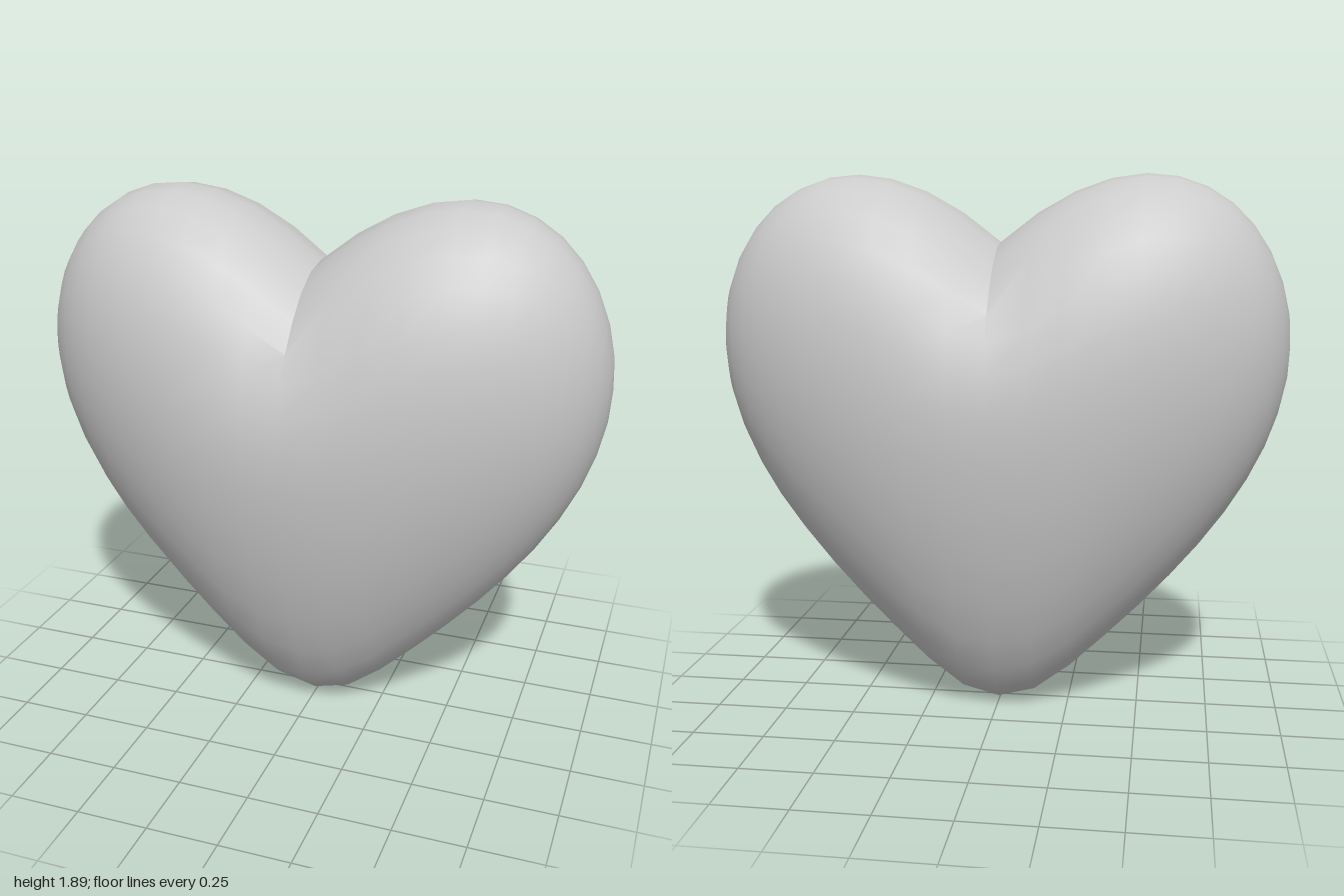
import * as THREE from 'three';
import { toCreasedNormals } from 'three/addons/utils/BufferGeometryUtils.js';

// Absolute value with its corner rounded off within a distance w of zero
function softAbs(x, w) {
  const a = Math.abs(x);
  return a < w ? (a * a / w + w) / 2 : a;
}

// A sphere with poles at the sides, bent upwards away from the middle to form two lobes
function heartGeometry() {
  const geometry = new THREE.SphereGeometry(1, 32, 24).rotateZ(-Math.PI / 2);
  const pos = geometry.attributes.position;
  for (let i = 0; i < pos.count; i++) {
    const x = Math.abs(pos.getX(i)) < 1e-5 ? 0 : pos.getX(i);
    const ring = Math.sqrt(Math.max(1 - x * x, 1e-8));
    const up = THREE.MathUtils.clamp(pos.getY(i) / ring, -1, 1);

    // Sharp cleft on top, soft across the faces, slightly rounded at the bottom tip
    const width = up > 0
      ? 0.45 * THREE.MathUtils.smoothstep(1 - up, 0.07, 1)
      : THREE.MathUtils.lerp(0.45, 0.24, -up);
    const s = softAbs(x, Math.max(width, 1e-4));

    const y = 0.78 + 0.87 * s - 0.34 * s * s + 0.88 * pos.getY(i);
    // Thicker towards the top, thinner towards the tip
    const z = 0.46 * pos.getZ(i) * (0.72 + 0.25 * y);
    pos.setXYZ(i, x, Math.max(y, 0), z);
  }
  geometry.deleteAttribute('uv');
  geometry.deleteAttribute('normal');
  return toCreasedNormals(geometry, 0.65);
}

export function createModel() {
  const group = new THREE.Group();
  group.name = 'heart';
  const body = new THREE.Mesh(
    heartGeometry(),
    new THREE.MeshStandardMaterial({ color: 0xcccccc })
  );
  body.name = 'heartBody';
  group.add(body);
  return group;
}
